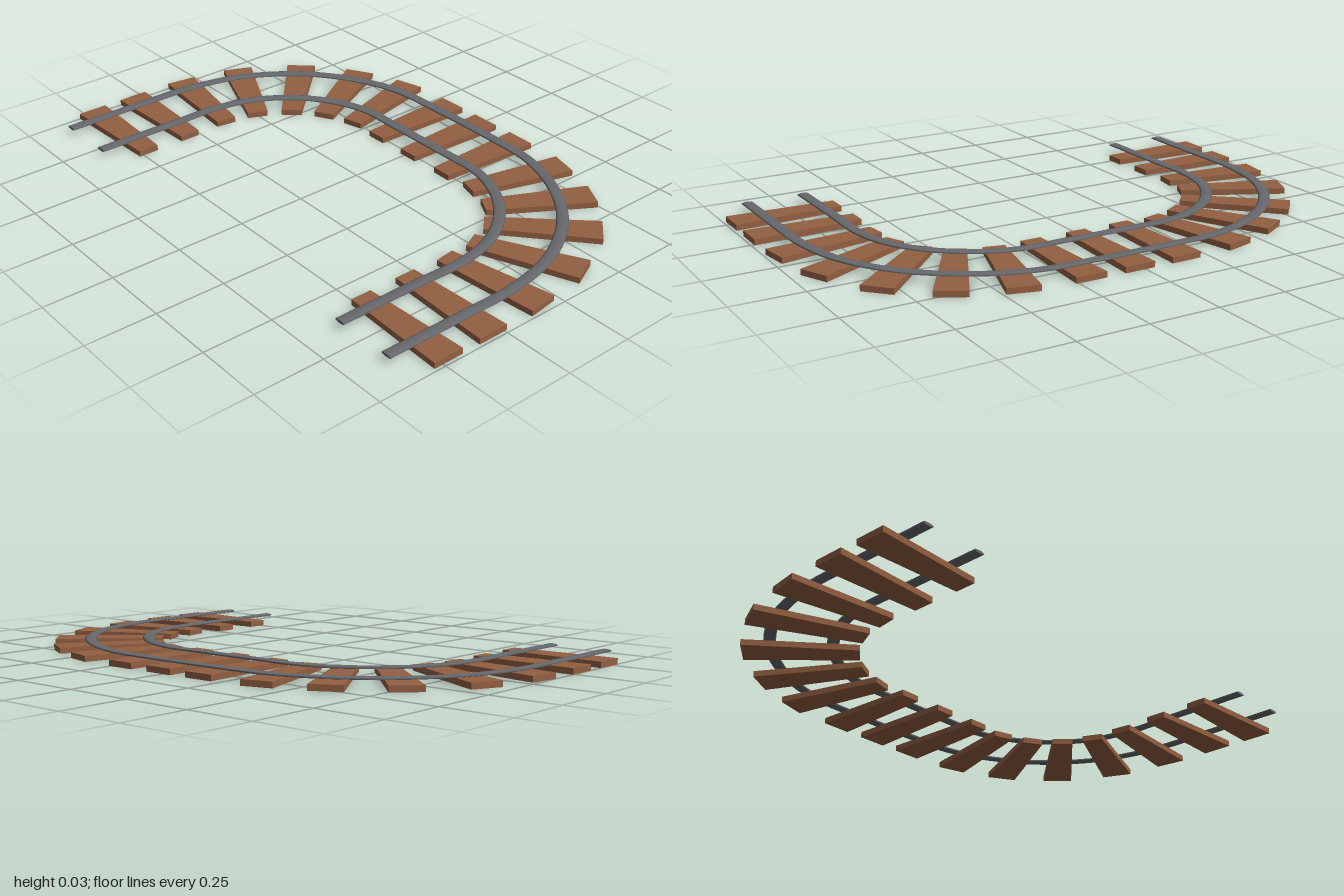
import * as THREE from 'three';
import { toCreasedNormals } from 'three/addons/utils/BufferGeometryUtils.js';

// One half of the bend: outer end x,z, inner end x,z, z offset of the mirrored sleeper
const ROWS = [
  [-0.478, -1.0, -0.478, -0.605, -0.011],
  [-0.298, -1.0, -0.298, -0.605, -0.011],
  [-0.079, -0.993, -0.132, -0.608, -0.01],
  [0.156, -0.935, -0.005, -0.58, 0.005],
  [0.372, -0.795, 0.103, -0.51, 0.027],
  [0.52, -0.602, 0.182, -0.412, 0.043],
  [0.6, -0.394, 0.225, -0.293, 0.043],
  [0.617, -0.161, 0.225, -0.155, 0.042],
];
const SLEEPER_HEIGHT = 0.021;
const RAIL_RADIUS = 0.021;
const RAIL_Y = 0.0285;

// Tapered plank, wider on the outside of the bend
function sleeperGeometry(ox, oz, ix, iz) {
  const dir = new THREE.Vector2(ox - ix, oz - iz).normalize();
  const corner = (x, z, w) => new THREE.Vector2(x - dir.y * w, -(z + dir.x * w));
  const shape = new THREE.Shape([
    corner(ox, oz, 0.056), corner(ox, oz, -0.056),
    corner(ix, iz, -0.038), corner(ix, iz, 0.038),
  ]);
  const geo = new THREE.ExtrudeGeometry(shape, { depth: SLEEPER_HEIGHT, bevelEnabled: false });
  return geo.rotateX(-Math.PI / 2);
}

// Flattened round bar following the sleepers at fraction t from their outer ends
function railGeometry(t) {
  const half = ROWS.map(([ox, oz, ix, iz]) =>
    new THREE.Vector3(ox + (ix - ox) * t, 0, oz + (iz - oz) * t));
  half.unshift(new THREE.Vector3(-0.623, 0, half[0].z));
  const mirrored = half.map((p) => new THREE.Vector3(p.x, 0, -0.028 - p.z)).reverse();
  const path = new THREE.CatmullRomCurve3([...half, ...mirrored], false, 'centripetal');
  const section = new THREE.Shape().absarc(0, 0, RAIL_RADIUS, 0, Math.PI * 2);
  const geo = new THREE.ExtrudeGeometry(section, {
    steps: 90, curveSegments: 8, extrudePath: path, bevelEnabled: false,
  });
  return toCreasedNormals(geo, 1).scale(1, 0.25, 1).translate(0, RAIL_Y, 0);
}

export function createModel() {
  const model = new THREE.Group();
  model.name = 'curvedTrack';
  const wood = new THREE.MeshStandardMaterial({ color: 0x935f41 });
  const steel = new THREE.MeshStandardMaterial({ color: 0x66686c });

  const add = (parent, name, geo, material) => {
    const mesh = new THREE.Mesh(geo, material);
    mesh.name = name;
    parent.add(mesh);
  };

  // Sleepers: both halves of the bend plus the middle one
  const sleepers = new THREE.Group();
  sleepers.name = 'sleepers';
  for (const [ox, oz, ix, iz, shift] of ROWS) {
    add(sleepers, 'sleeper', sleeperGeometry(ox, oz, ix, iz), wood);
    add(sleepers, 'sleeper', sleeperGeometry(ox, shift - oz, ix, shift - iz), wood);
  }
  add(sleepers, 'sleeper', sleeperGeometry(0.617, 0.02, 0.225, 0.02), wood);
  model.add(sleepers);

  // Rails
  add(model, 'outerRail', railGeometry(0.235), steel);
  add(model, 'innerRail', railGeometry(0.77), steel);
  return model;
}
